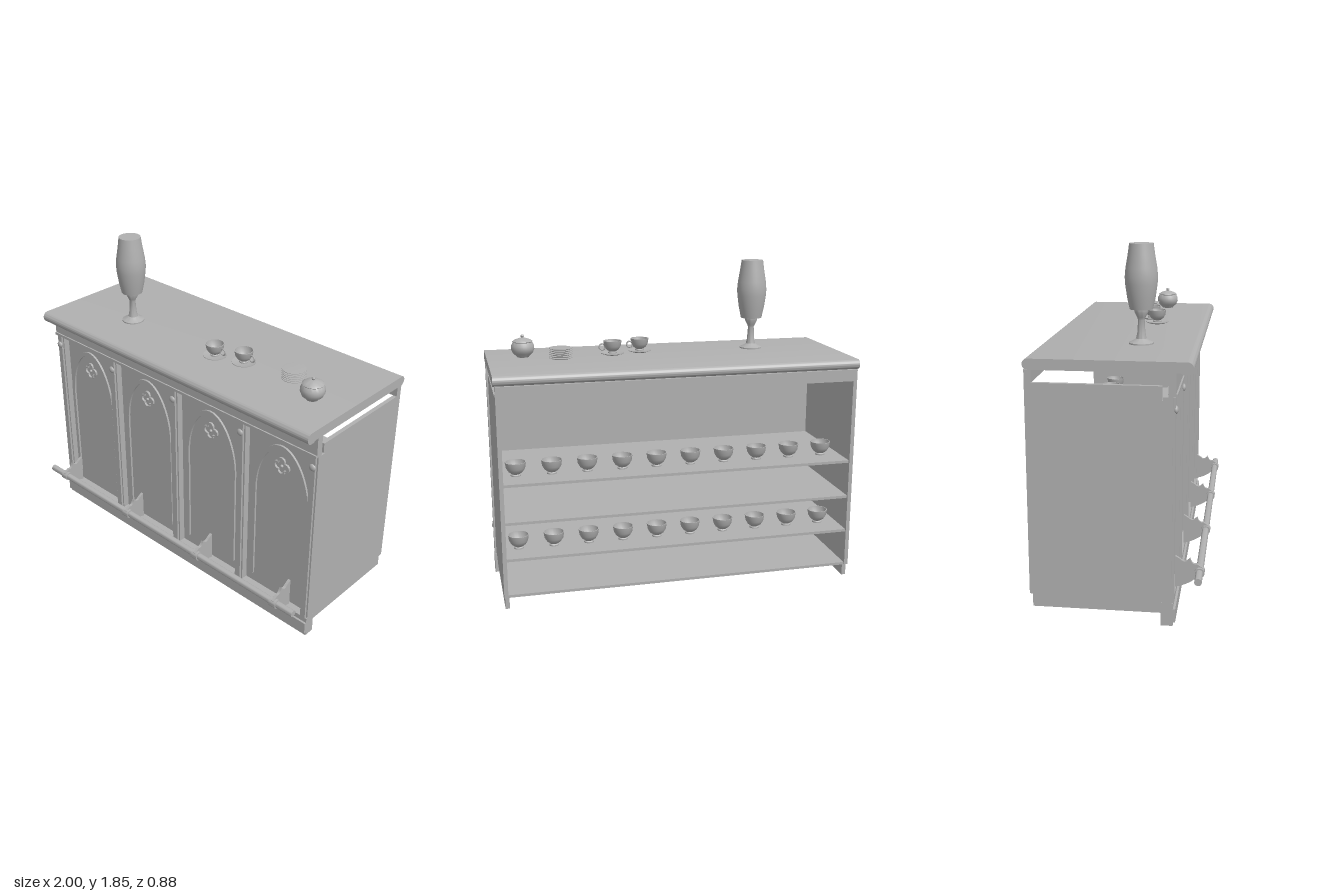
import * as THREE from 'three';
import { toCreasedNormals } from 'three/addons/utils/BufferGeometryUtils.js';

const plaster = new THREE.MeshStandardMaterial({ color: 0xb0b0b0, side: THREE.DoubleSide });
plaster.name = 'plain grey';

export function createModel() {
  const root = new THREE.Group();
  root.name = 'barCounter';

  const add = (name, geo, x = 0, y = 0, z = 0, parent = root) => {
    const m = new THREE.Mesh(geo, plaster);
    m.name = name;
    m.position.set(x, y, z);
    parent.add(m);
    return m;
  };
  // box given by its limits
  const box = (name, x0, x1, y0, y1, z0, z1) =>
    add(name, new THREE.BoxGeometry(x1 - x0, y1 - y0, z1 - z0), (x0 + x1) / 2, (y0 + y1) / 2, (z0 + z1) / 2);
  const lathe = (pts, seg = 32) =>
    toCreasedNormals(new THREE.LatheGeometry(pts.map(p => new THREE.Vector2(p[0], p[1])), seg), 0.7);
  const extrude = (shape, depth) =>
    toCreasedNormals(new THREE.ExtrudeGeometry(shape, { depth, bevelEnabled: false, curveSegments: 14 }), 0.6);
  // shape drawn in (z, y), extruded along x and centred on x = 0
  const alongX = (shape, width) => extrude(shape, width).translate(0, 0, -width / 2)
    .applyMatrix4(new THREE.Matrix4().set(0, 0, -1, 0, 0, 1, 0, 0, 1, 0, 0, 0, 0, 0, 0, 1));

  // countertop with rounded front and back edges
  const top = new THREE.Shape();
  top.moveTo(-0.42, 1.285);
  top.lineTo(0.32, 1.285);
  top.lineTo(0.33, 1.277);
  top.lineTo(0.352, 1.277);
  top.absarc(0.349, 1.308, 0.031, -Math.PI / 2, Math.PI / 2, false);
  top.lineTo(-0.42, 1.339);
  top.absarc(-0.413, 1.312, 0.027, Math.PI / 2, Math.PI * 1.5, false);
  add('countertop', alongX(top, 2));

  // frieze, rails and plinth
  box('frieze', -1, 1, 1.17, 1.285, 0.26, 0.297);
  box('friezeBead', -1, 1, 1.17, 1.185, 0.29, 0.305);
  box('backRail', -0.99, 0.99, 1.22, 1.285, -0.435, -0.4);
  box('plinth', -1, 1, 0, 0.12, 0.23, 0.29);
  box('plinthMoulding', -1, 1, 0.02, 0.09, 0.285, 0.302);
  box('frontBoard', -0.99, 0.99, 0.12, 1.15, 0.23, 0.246);

  // sides with a slightly recessed base strip
  for (const s of [-1, 1]) {
    const span = (a, b) => (s > 0 ? [a, b] : [-b, -a]);
    box('sidePanel', ...span(0.968, 0.99), 0.13, 1.22, -0.435, 0.23);
    box('sideBase', ...span(0.962, 0.985), 0.06, 0.135, -0.42, 0.23);
  }

  // shelves
  const shelfTops = [0.14, 0.345, 0.55, 0.76];
  for (const y of shelfTops) box('shelf', -0.97, 0.97, y - 0.015, y, -0.425, 0.23);

  // pillars with round bosses
  for (const [x, w] of [[-0.975, 0.05], [-0.5, 0.055], [0, 0.055], [0.5, 0.055], [0.975, 0.05]]) {
    box('pillar', x - w / 2, x + w / 2, 0.12, 1.17, 0.235, 0.283);
    box('pillarFace', x - w / 2 + 0.009, x + w / 2 - 0.009, 0.12, 1.165, 0.28, 0.295);
    add('pillarBoss', new THREE.SphereGeometry(0.02, 20, 12).scale(1, 1, 0.6), x, 1.105, 0.295);
  }

  // pointed arch moulding, open at the foot
  const arch = new THREE.Shape();
  const oW = 0.187, iW = 0.165;
  arch.moveTo(-oW, 0.18);
  arch.lineTo(-oW, 0.78);
  arch.bezierCurveTo(-oW, 0.95, -0.1, 1.11, 0, 1.11);
  arch.bezierCurveTo(0.1, 1.11, oW, 0.95, oW, 0.78);
  arch.lineTo(oW, 0.18);
  arch.lineTo(iW, 0.18);
  arch.lineTo(iW, 0.78);
  arch.bezierCurveTo(iW, 0.94, 0.085, 1.088, 0, 1.088);
  arch.bezierCurveTo(-0.085, 1.088, -iW, 0.94, -iW, 0.78);
  arch.lineTo(-iW, 0.18);
  const archGeo = extrude(arch, 0.014);

  // four-lobed flower outline
  const lobes = (path, d, a) => {
    const t = (d + Math.sqrt(2 * a * a - d * d)) / 2;
    const half = Math.atan2(t, t - d);
    for (let i = 0; i < 4; i++) {
      const q = i * Math.PI / 2;
      path.absarc(d * Math.cos(q), d * Math.sin(q), a, q - half, q + half, false);
    }
    return path;
  };
  const flower = lobes(new THREE.Shape(), 0.03, 0.024);
  flower.holes.push(lobes(new THREE.Path(), 0.022, 0.0185));
  const flowerGeo = extrude(flower, 0.014);

  for (const x of [-0.75, -0.25, 0.25, 0.75]) {
    add('archMoulding', archGeo, x, 0, 0.244);
    add('quatrefoil', flowerGeo, x, 0.985, 0.244);
    add('quatrefoilCentre', new THREE.SphereGeometry(0.009, 12, 8), x, 0.985, 0.25);
  }

  // foot rail on scalloped brackets
  const rod = (r, len) => toCreasedNormals(new THREE.CylinderGeometry(r, r, len, 24).rotateZ(Math.PI / 2), 0.7);
  add('footRail', rod(0.019, 2), 0, 0.24, 0.413);
  const bracket = new THREE.Shape();
  bracket.moveTo(0.29, 0.155);
  bracket.lineTo(0.31, 0.16);
  bracket.quadraticCurveTo(0.37, 0.18, 0.4, 0.212);
  bracket.lineTo(0.435, 0.235);
  bracket.lineTo(0.43, 0.262);
  bracket.lineTo(0.4, 0.283);
  bracket.quadraticCurveTo(0.375, 0.275, 0.365, 0.312);
  bracket.quadraticCurveTo(0.34, 0.28, 0.318, 0.305);
  bracket.lineTo(0.29, 0.322);
  const bracketGeo = alongX(bracket, 0.016);
  for (const x of [-0.87, -0.29, 0.29, 0.87]) {
    add('railBracket', bracketGeo, x);
    add('railCollar', rod(0.026, 0.046), x, 0.24, 0.413);
  }

  // lamp
  const lamp = new THREE.Group();
  lamp.name = 'lamp';
  lamp.position.set(-0.537, 1.338, 0.077);
  root.add(lamp);
  add('lampBase', lathe([[0, 0], [0.064, 0], [0.064, 0.008], [0.045, 0.016], [0.027, 0.028], [0.021, 0.06],
    [0.017, 0.125], [0.022, 0.138], [0.036, 0.165], [0.036, 0.178], [0, 0.182]]), 0, 0, 0, lamp);
  add('lampShade', lathe([[0, 0.18], [0.06, 0.18], [0.073, 0.24], [0.083, 0.31], [0.085, 0.345], [0.081, 0.39],
    [0.07, 0.455], [0.062, 0.513], [0, 0.513]]), 0, 0, 0, lamp);

  // hollow cup, used on the top and on the shelves
  const cupGeo = lathe([[0, 0], [0.025, 0], [0.025, 0.006], [0.02, 0.01], [0.036, 0.022], [0.047, 0.04], [0.052, 0.07],
    [0.048, 0.07], [0.043, 0.042], [0.03, 0.024], [0, 0.018]], 24);
  const saucerGeo = lathe([[0, 0], [0.04, 0], [0.065, 0.009], [0.065, 0.012], [0.038, 0.006], [0, 0.006]]);
  const handleGeo = new THREE.TorusGeometry(0.017, 0.0045, 8, 20);
  for (const [x, z] of [[0.13, 0.09], [0.297, 0.042]]) {
    add('saucer', saucerGeo, x, 1.339, z);
    add('cup', cupGeo, x, 1.349, z);
    add('cupHandle', handleGeo, x + 0.059, 1.386, z);
  }
  for (const y of [shelfTops[1], shelfTops[3]])
    for (let i = 0; i < 10; i++) add('shelfCup', cupGeo, 0.89 - 0.194 * i, y, -0.27).scale.set(1.1, 1.12, 1.1);

  // stack of plates
  const plateGeo = lathe([[0, 0], [0.05, 0], [0.065, 0.006], [0.065, 0.0085], [0.05, 0.0095], [0, 0.0095]]);
  for (let i = 0; i < 6; i++) add('plate', plateGeo, 0.598, 1.339 + i * 0.0105, -0.01);

  // lidded sugar bowl
  add('sugarBowl', lathe([[0, 0], [0.033, 0], [0.036, 0.006], [0.055, 0.022], [0.065, 0.045], [0.064, 0.065],
    [0.054, 0.084], [0.057, 0.088], [0.045, 0.097], [0.02, 0.106], [0.007, 0.109], [0.01, 0.118], [0.007, 0.125], [0, 0.127]]),
    0.798, 1.339, 0.09);

  return root;
}
